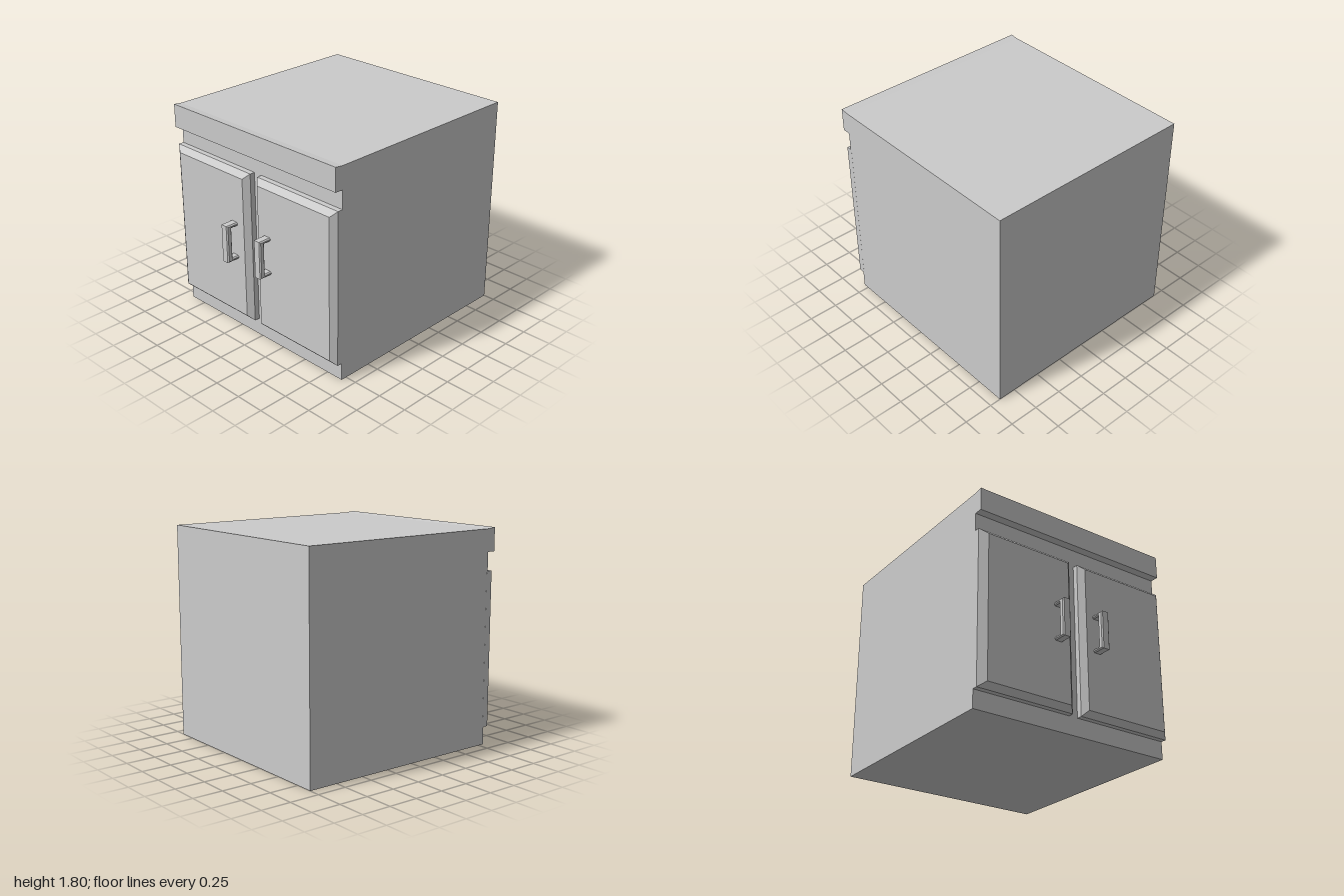
import * as THREE from 'three';

const material = new THREE.MeshStandardMaterial({ color: 0xcccccc, flatShading: true });

// Extrudes a (z, y) side profile across x, centred on x = 0
function extrudeAcross(profile, width, bevel = 0) {
  const shape = new THREE.Shape(profile.map(([z, y]) => new THREE.Vector2(z, y)));
  const depth = width - 2 * bevel;
  const geometry = new THREE.ExtrudeGeometry(shape, {
    depth, bevelEnabled: bevel > 0, bevelSegments: 1,
    bevelSize: bevel, bevelThickness: bevel, bevelOffset: -bevel,
  });
  return geometry.translate(0, 0, -depth / 2).rotateY(-Math.PI / 2);
}

// Door slab: straight sides at the back, sloping in to a smaller front panel
function doorGeometry(x0, x1, insetLeft, insetRight) {
  const [y0, y1, inset] = [0.15, 1.455, 0.045];
  const depths = [0.79, 0.845, 0.89];
  const geometry = new THREE.BoxGeometry(2, 2, 2, 1, 1, 2);
  const p = geometry.attributes.position;
  for (let i = 0; i < p.count; i++) {
    const front = p.getZ(i) > 0.5 ? 1 : 0;
    const x = p.getX(i) < 0 ? x0 + front * insetLeft : x1 - front * insetRight;
    const y = p.getY(i) < 0 ? y0 + front * inset : y1 - front * inset;
    p.setXYZ(i, x, y, depths[Math.round(p.getZ(i)) + 1]);
  }
  geometry.computeVertexNormals();
  return geometry;
}

export function createModel() {
  const group = new THREE.Group();
  const add = (name, geometry, x = 0) => {
    const mesh = new THREE.Mesh(geometry, material);
    mesh.name = name;
    mesh.position.x = x;
    group.add(mesh);
  };

  // Cabinet with the worktop lip overhanging the front
  add('cabinetBody', extrudeAcross([
    [-1, 0], [0.8, 0], [0.8, 1.61], [0.87, 1.61], [0.87, 1.805], [0.8, 1.797], [-1, 1.797],
  ], 1.805));

  // Pair of bevelled doors
  add('rightDoor', doorGeometry(-0.903, -0.035, 0.063, 0.045));
  add('leftDoor', doorGeometry(0.045, 0.903, 0.045, 0.045));

  // Chamfered bracket handles, their feet sunk into the doors
  const handle = extrudeAcross([
    [0.86, 0.692], [1, 0.692], [1, 1.015], [0.86, 1.015],
    [0.86, 0.985], [0.95, 0.985], [0.95, 0.722], [0.86, 0.722],
  ], 0.074, 0.01);
  add('rightHandle', handle, -0.19);
  add('leftHandle', handle, 0.19);

  return group;
}
